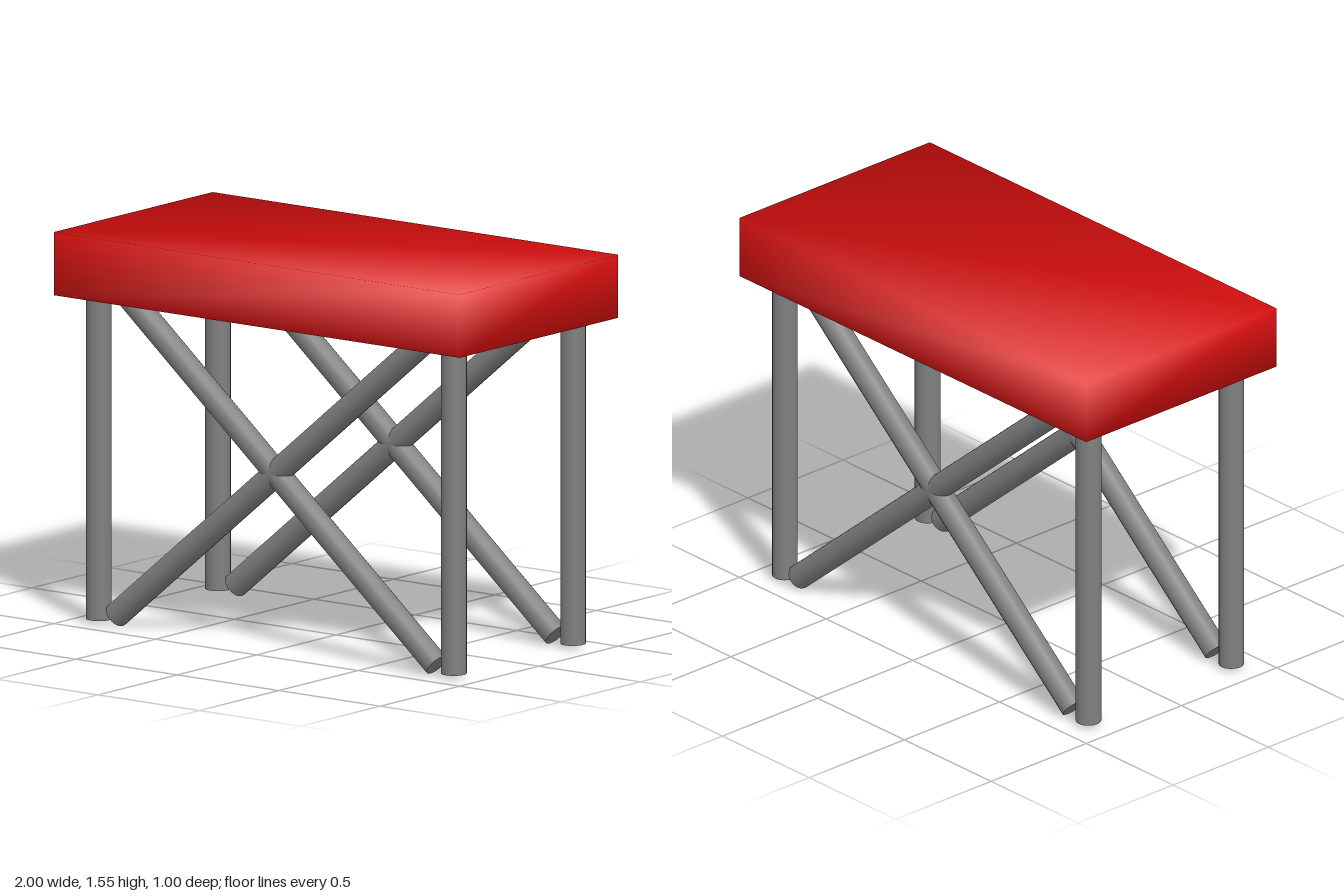
import * as THREE from 'three';

const red = new THREE.MeshStandardMaterial({ color: 0xe01010 });
red.name = 'red';
const grey = new THREE.MeshStandardMaterial({ color: 0x808080 });
grey.name = 'grey';

// Round bar between two points
function bar(name, from, to, radius = 0.05) {
  const dir = to.clone().sub(from);
  const mesh = new THREE.Mesh(new THREE.CylinderGeometry(radius, radius, dir.length(), 16), grey);
  mesh.name = name;
  mesh.position.copy(from).add(to).multiplyScalar(0.5);
  mesh.quaternion.setFromUnitVectors(new THREE.Vector3(0, 1, 0), dir.normalize());
  return mesh;
}

// Slab whose corners share one soft, outward diagonal normal
function softBox(w, h, d) {
  const geo = new THREE.BoxGeometry(w, h, d);
  const p = geo.attributes.position;
  const k = 1 / Math.sqrt(3);
  for (let i = 0; i < p.count; i++) {
    geo.attributes.normal.setXYZ(i, Math.sign(p.getX(i)) * k, Math.sign(p.getY(i)) * k, Math.sign(p.getZ(i)) * k);
  }
  return geo;
}

export function createModel() {
  const model = new THREE.Group();
  model.name = 'stool';

  // Thick seat slab
  const seat = new THREE.Mesh(softBox(2, 0.25, 1), red);
  seat.name = 'seat';
  seat.position.y = 1.427;
  model.add(seat);

  // Upright legs and crossed braces, the same at front and back
  for (const [end, z] of [['front', 0.375], ['back', -0.375]]) {
    for (const [side, s] of [['Left', 1], ['Right', -1]]) {
      model.add(bar(end + side + 'Leg',
        new THREE.Vector3(s * 0.875, 0.017, z), new THREE.Vector3(s * 0.875, 1.31, z)));
      model.add(bar(end + side + 'Brace',
        new THREE.Vector3(s * 0.79, 0.04, z), new THREE.Vector3(s * -0.79, 1.365, z)));
    }
  }
  return model;
}
